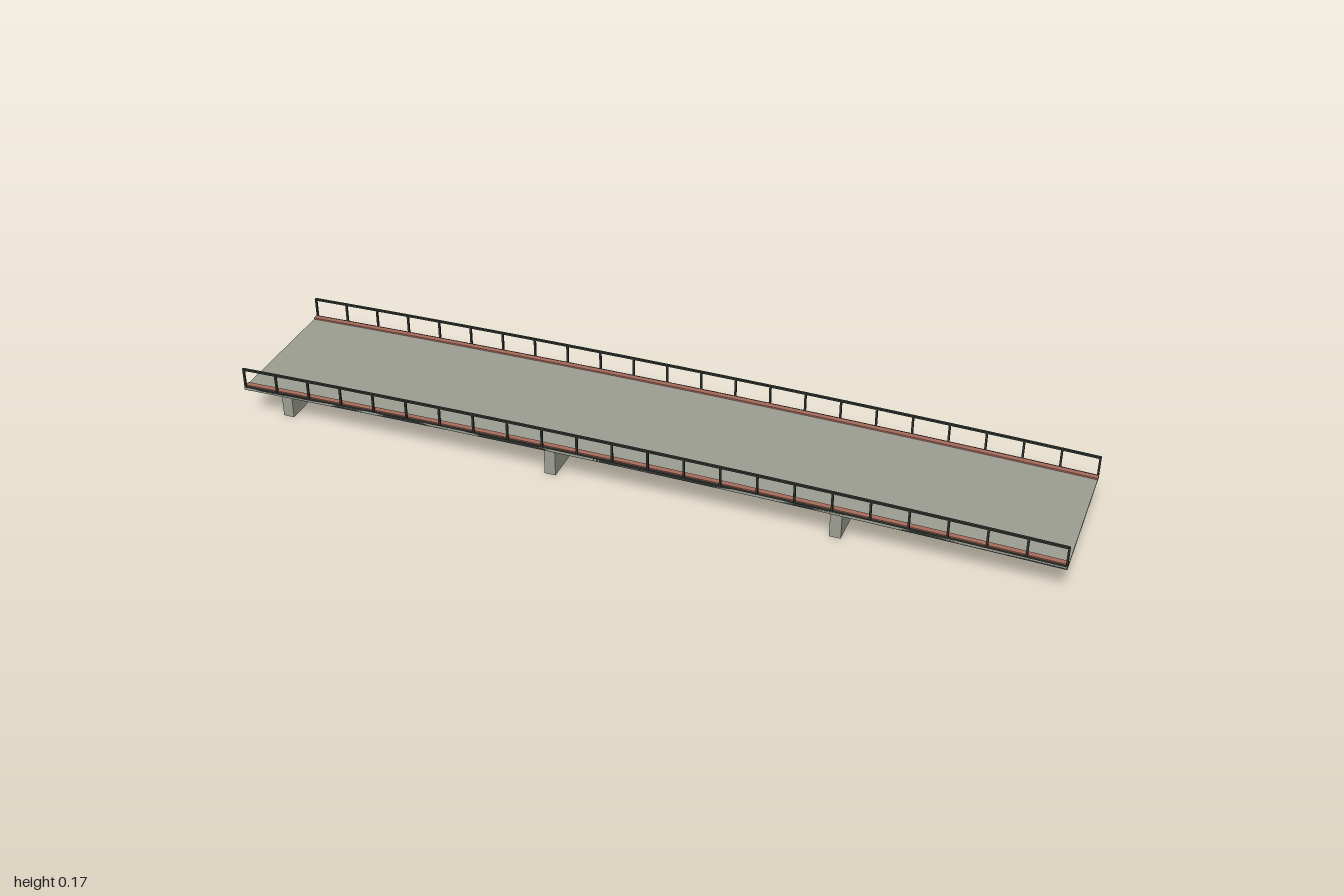
import * as THREE from 'three';

const LENGTH = 2.1;
const WIDTH = 0.382;
const DECK_TOP = 0.097; // at the ends of the span
const CAMBER = 0.015; // extra height at midspan
const RAIL_HEIGHT = 0.055;

const rise = (x) => CAMBER * (1 - (2 * x / LENGTH) ** 2);

const paint = (color) => new THREE.MeshStandardMaterial({ color, flatShading: true });

function addBox(parent, name, size, position, material) {
  const mesh = new THREE.Mesh(new THREE.BoxGeometry(...size), material);
  mesh.name = name;
  mesh.position.set(...position);
  parent.add(mesh);
  return mesh;
}

// Full-length strip bent to follow the camber of the span
function addArchedStrip(parent, name, height, width, top, z, material) {
  const geometry = new THREE.BoxGeometry(LENGTH, height, width, 24, 1, 1);
  const p = geometry.attributes.position;
  for (let i = 0; i < p.count; i++) {
    p.setY(i, p.getY(i) + top - height / 2 + rise(p.getX(i)));
  }
  geometry.computeVertexNormals();
  const mesh = new THREE.Mesh(geometry, material);
  mesh.name = name;
  mesh.position.z = z;
  parent.add(mesh);
}

export function createModel() {
  const model = new THREE.Group();
  model.name = 'bridge';
  const concrete = paint(0x9c9e92);
  const metal = paint(0x2e332f);
  const curbRed = paint(0xa86c5c);

  // The span crosses diagonally
  const span = new THREE.Group();
  span.name = 'span';
  span.rotation.y = -0.538;
  model.add(span);

  // Roadway
  addArchedStrip(span, 'deck', 0.006, WIDTH, DECK_TOP, 0, concrete);

  // Curb and railing along each edge
  for (const side of [-1, 1]) {
    const railing = new THREE.Group();
    railing.name = side > 0 ? 'frontRailing' : 'backRailing';
    span.add(railing);
    const edge = side * (WIDTH / 2 - 0.003);
    addArchedStrip(railing, 'curb', 0.007, 0.014, DECK_TOP + 0.004, side * (WIDTH / 2 - 0.013), curbRed);
    addArchedStrip(railing, 'edgeBeam', 0.008, 0.006, DECK_TOP + 0.001, edge, metal);
    addArchedStrip(railing, 'handrail', 0.005, 0.006, DECK_TOP + RAIL_HEIGHT, edge, metal);

    const bays = 23;
    for (let i = 0; i <= bays; i++) {
      const x = (i / bays - 0.5) * (LENGTH - 0.005);
      addBox(railing, 'post', [0.005, RAIL_HEIGHT, 0.005],
        [x, DECK_TOP + rise(x) + RAIL_HEIGHT / 2 - 0.002, edge], metal);
    }
  }

  // Wall piers, evenly spaced but offset towards one end
  for (const x of [-0.96, -0.23, 0.5]) {
    const height = DECK_TOP + rise(x) - 0.004;
    addBox(span, 'pier', [0.029, height, 0.284], [x, height / 2, 0], concrete);
  }

  return model;
}
